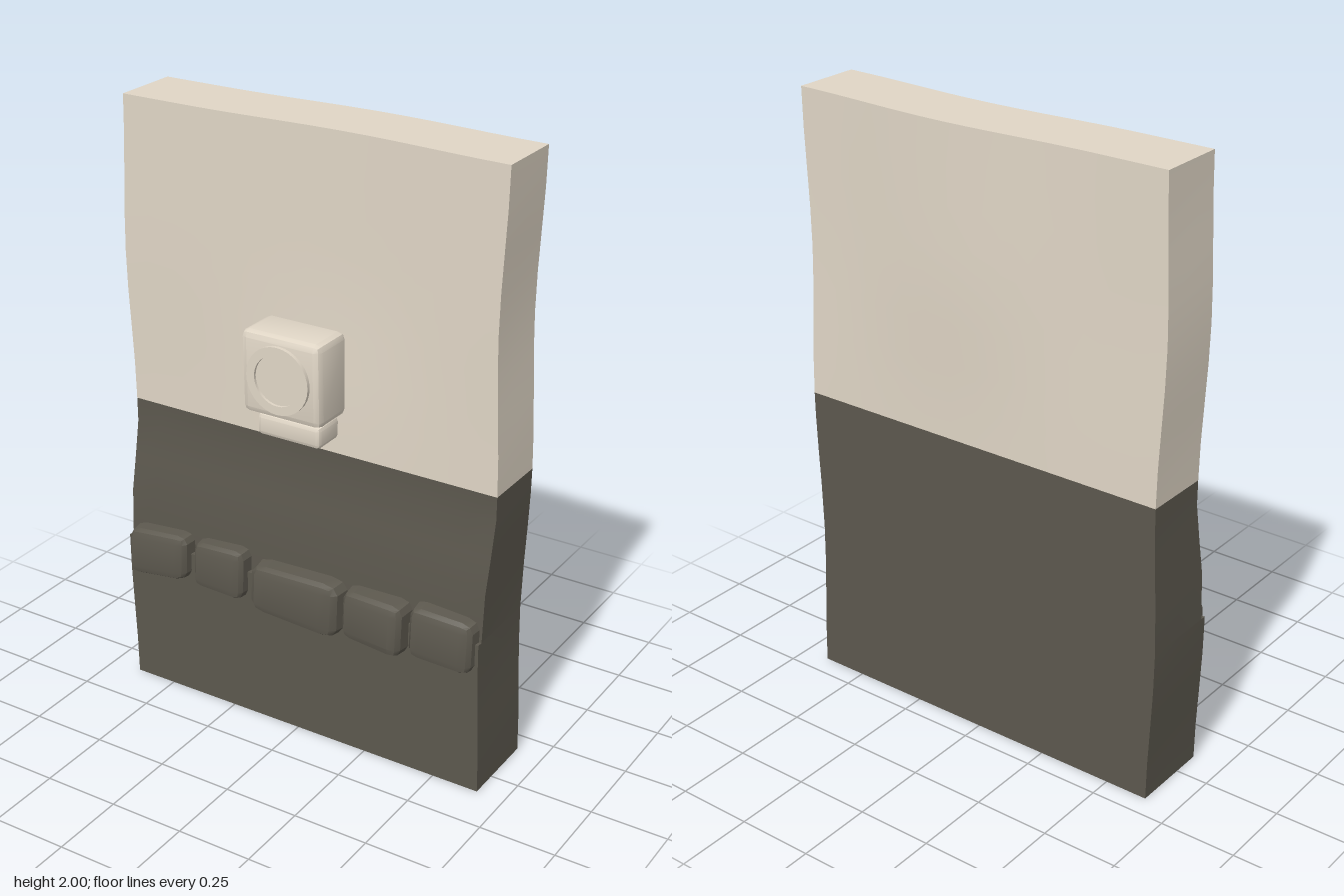
import * as THREE from 'three';
import { toCreasedNormals } from 'three/addons/utils/BufferGeometryUtils.js';
import { RoundedBoxGeometry } from 'three/addons/geometries/RoundedBoxGeometry.js';

const material = (name, color) => {
  const mat = new THREE.MeshStandardMaterial({ color });
  mat.name = name;
  return mat;
};
const plaster = material('pale plaster', 0xe0d6c6);
const stone = material('dark stone', 0x5c584e);
const underside = material('black underside', 0x2a2a2a);

const smooth = THREE.MathUtils.smoothstep;
const lerp = THREE.MathUtils.lerp;
const COLS = 14;

// Sideways wobble of the wall and the inward bow of its upper half
const sway = (y) => -0.016 * Math.sin(Math.PI * y) ** 2;
const bow = (x, y) => {
  const t = THREE.MathUtils.clamp((x - 0.13) / 0.55, -1, 1);
  return smooth(y, 1, 1.6) * (0.006 - 0.024 * (0.5 + 0.5 * Math.cos(Math.PI * t)));
};

// Closed ring of points around the wall at one height
function wallRing([y, front]) {
  const ring = [];
  const point = (i, z) => {
    const x = -0.643 + (1.3 * i) / COLS;
    ring.push([x + sway(y), y, z + bow(x, y)]);
  };
  for (let i = 0; i <= COLS; i++) point(i, front);
  for (let i = COLS; i >= 0; i--) point(i, -0.178);
  return ring;
}

function quadGeometry(quads) {
  const pos = quads.flatMap(([a, b, c, d]) => [a, b, c, a, c, d].flat());
  const geo = new THREE.BufferGeometry();
  geo.setAttribute('position', new THREE.Float32BufferAttribute(pos, 3));
  return toCreasedNormals(geo, 0.5);
}

// Wall sides between stacked rings; rows are [y, front z]
function wallSides(rows) {
  const rings = rows.map(wallRing);
  const quads = [];
  for (let j = 0; j < rings.length - 1; j++) {
    const low = rings[j], high = rings[j + 1];
    low.forEach((p, i) => {
      const k = (i + 1) % low.length;
      quads.push([p, low[k], high[k], high[i]]);
    });
  }
  return quadGeometry(quads);
}

// Flat end of the wall, split into strips between front and back
function wallCap(row, up) {
  const r = wallRing(row);
  const quads = [];
  for (let i = 0; i < COLS; i++) {
    const q = [r[i], r[i + 1], r[r.length - 2 - i], r[r.length - 1 - i]];
    quads.push(up ? q : q.reverse());
  }
  return quadGeometry(quads);
}

// Chamfered block with sharp bevel edges
function chamferBox(w, h, d, radius) {
  const geo = new RoundedBoxGeometry(w, h, d, 1, radius);
  geo.deleteAttribute('normal');
  geo.deleteAttribute('uv');
  return geo;
}

// Chamfered block skewed to four corner heights and narrowing to the front
function cobble([x0, x1, topL, topR, botL, botR, zL, zR]) {
  const geo = chamferBox(1, 1, 1, 0.17);
  const p = geo.attributes.position;
  for (let i = 0; i < p.count; i++) {
    const w = p.getZ(i) + 0.5;
    const taper = 1.03 - 0.12 * w;
    const u = p.getX(i) * taper + 0.5;
    const v = p.getY(i) * taper + 0.5;
    const y = lerp(lerp(botL, botR, u), lerp(topL, topR, u), v);
    const z = lerp(0.02, lerp(zL, zR, u) - 0.012 * v, w);
    p.setXYZ(i, lerp(x0, x1, u), y, z);
  }
  return toCreasedNormals(geo, 0.4);
}

export function createModel() {
  const model = new THREE.Group();
  model.name = 'wallPanel';
  const group = (name) => {
    const g = new THREE.Group();
    g.name = name;
    model.add(g);
    return g;
  };
  const add = (parent, name, geo, mat, x = 0, y = 0, z = 0) => {
    const mesh = new THREE.Mesh(geo, mat);
    mesh.name = name;
    mesh.position.set(x, y, z);
    parent.add(mesh);
  };

  // Wall halves and their flat ends
  const upperRows = [];
  for (let i = 0; i <= 8; i++) upperRows.push([1 + i / 8, 0.046]);
  add(model, 'upperWall', wallSides(upperRows), plaster);
  add(model, 'wallTop', wallCap([2, 0.046], true), plaster);
  add(model, 'lowerWall', wallSides([
    [0, 0.095], [0.13, 0.095], [0.26, 0.095], [0.39, 0.095], [0.52, 0.095],
    [0.52, 0.075], [0.68, 0.074], [0.8, 0.059], [0.92, 0.044], [1, 0.046],
  ]), stone);
  add(model, 'wallBottom', wallCap([0, 0.095], false), underside);

  // Row of cobbles along the ledge
  const row = group('cobbleRow');
  [
    [-0.646, -0.405, 0.57, 0.592, 0.396, 0.428, 0.143, 0.14],
    [-0.392, -0.185, 0.585, 0.602, 0.424, 0.42, 0.135, 0.142],
    [-0.166, 0.175, 0.58, 0.592, 0.416, 0.394, 0.152, 0.152],
    [0.174, 0.405, 0.587, 0.592, 0.42, 0.407, 0.145, 0.162],
    [0.412, 0.636, 0.607, 0.594, 0.428, 0.414, 0.148, 0.136],
  ].forEach((spec, i) => add(row, 'cobble' + (i + 1), cobble(spec), stone));

  // Wall fixture: housing, small block under it and round bezel
  const fixture = group('fixture');
  const housing = chamferBox(0.276, 0.265, 0.16, 0.022);
  const hp = housing.attributes.position;
  for (let i = 0; i < hp.count; i++) hp.setX(i, hp.getX(i) - 0.02 * hp.getY(i));
  add(fixture, 'housing', toCreasedNormals(housing, 0.4), plaster, -0.005, 1.263, 0.1);
  const block = toCreasedNormals(chamferBox(0.222, 0.072, 0.13, 0.014), 0.4);
  add(fixture, 'lowerBlock', block, plaster, 0.002, 1.085, 0.083);
  const bezel = new THREE.LatheGeometry([
    [0.108, 0], [0.108, 0.013], [0.08, 0.013], [0.08, 0.004], [0, 0.004],
  ].map(([r, h]) => new THREE.Vector2(r, h)), 32);
  bezel.rotateX(Math.PI / 2);
  bezel.deleteAttribute('normal');
  bezel.deleteAttribute('uv');
  add(fixture, 'bezel', toCreasedNormals(bezel, 0.6), plaster, -0.008, 1.262, 0.179);

  return model;
}
